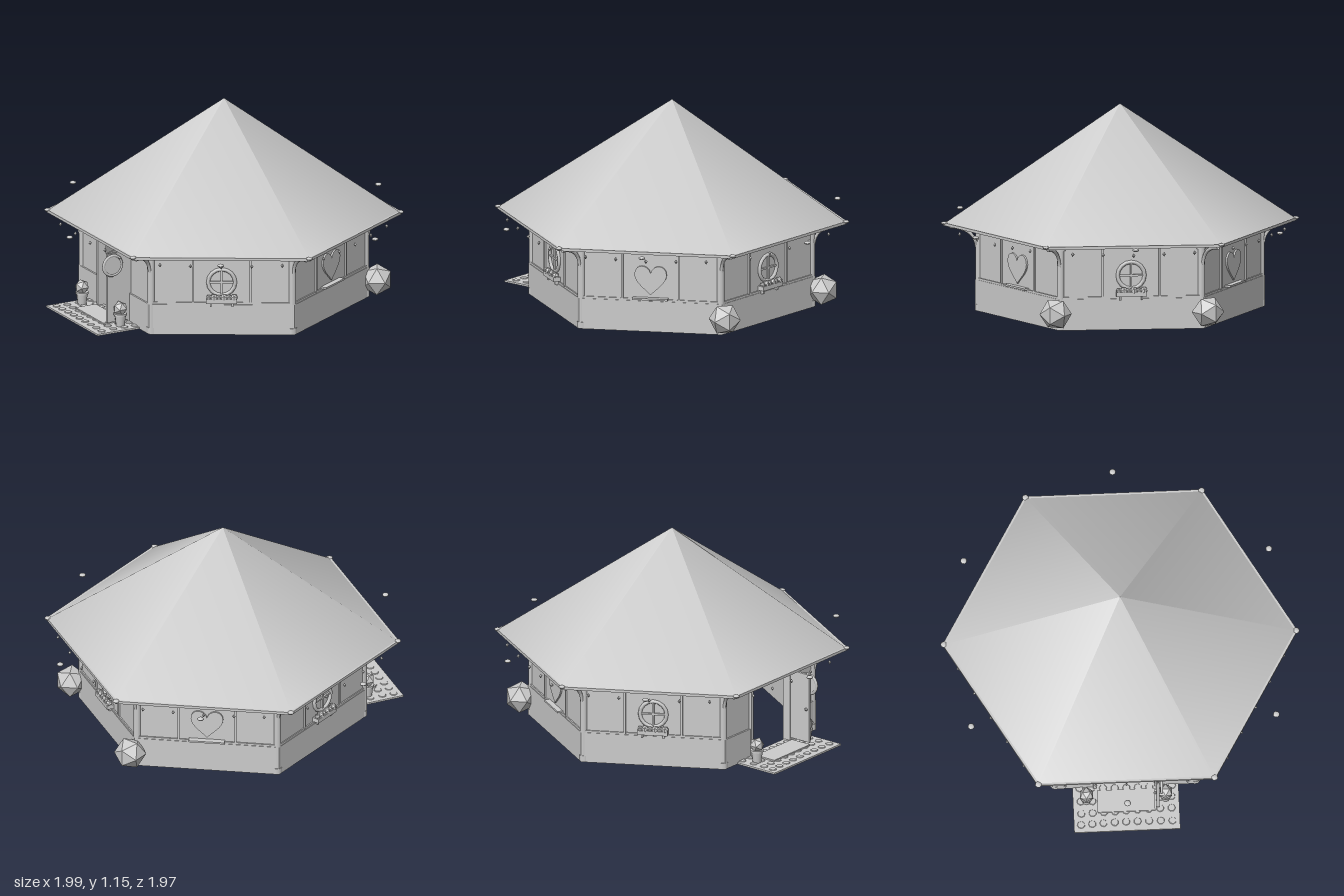
import * as THREE from 'three';

const rad = THREE.MathUtils.degToRad;
const paint = new THREE.MeshStandardMaterial({ color: 0xcccccc, side: THREE.DoubleSide });
paint.name = 'pale grey';

const BASE = 0.7, WALL = 0.69, EAVE = 0.49, ROOF_R = 0.985, CORNER_R = 0.8;

function add(parent, name, geometry, x = 0, y = 0, z = 0) {
  const mesh = new THREE.Mesh(geometry, paint);
  mesh.name = name;
  mesh.position.set(x, y, z);
  parent.add(mesh);
  return mesh;
}

const box = (parent, name, w, h, d, x, y, z) =>
  add(parent, name, new THREE.BoxGeometry(w, h, d), x, y, z);

// Group turned so that its +z points outwards at the given heading
function sector(parent, name, heading) {
  const g = new THREE.Group();
  g.name = name;
  g.rotation.y = rad(90 - heading);
  parent.add(g);
  return g;
}

// Faceted ball without smooth normals
const gem = r => new THREE.IcosahedronGeometry(r, 0);

function hexShape(r) {
  const s = new THREE.Shape();
  for (let i = 0; i < 6; i++) {
    const a = rad(-20 + 60 * i);
    s[i ? 'lineTo' : 'moveTo'](r * Math.cos(a), r * Math.sin(a));
  }
  s.closePath();
  return s;
}

function heartShape(s) {
  const h = new THREE.Shape();
  h.moveTo(0, -s);
  h.bezierCurveTo(-0.35 * s, -0.6 * s, -1.08 * s, -0.15 * s, -1.08 * s, 0.4 * s);
  h.bezierCurveTo(-1.08 * s, 1.15 * s, -0.15 * s, 1.15 * s, 0, 0.5 * s);
  h.bezierCurveTo(0.15 * s, 1.15 * s, 1.08 * s, 1.15 * s, 1.08 * s, 0.4 * s);
  h.bezierCurveTo(1.08 * s, -0.15 * s, 0.35 * s, -0.6 * s, 0, -s);
  return h;
}

function solidWall(face) {
  box(face, 'wallBase', BASE * 1.155, 0.175, 0.035, 0, 0.0875, BASE - 0.0175);
  box(face, 'wallPanel', WALL * 1.155, 0.41, 0.02, 0, 0.375, WALL - 0.01);
  box(face, 'baseRail', WALL * 1.155, 0.012, 0.014, 0, 0.181, WALL);
  for (const x of [-0.16, 0.16]) box(face, 'batten', 0.012, 0.31, 0.012, x, 0.335, WALL + 0.003);
}

function roundWindow(face) {
  add(face, 'windowFrame', new THREE.TorusGeometry(0.075, 0.011, 6, 16), 0, 0.305, WALL + 0.005);
  add(face, 'innerWindowFrame', new THREE.TorusGeometry(0.075, 0.007, 6, 20), 0, 0.305, WALL - 0.021);
  box(face, 'mullion', 0.01, 0.14, 0.012, 0, 0.305, WALL + 0.004);
  box(face, 'transom', 0.14, 0.01, 0.012, 0, 0.305, WALL + 0.004);
  box(face, 'flowerBox', 0.17, 0.025, 0.04, 0, 0.203, WALL + 0.022);
  for (let i = 0; i < 6; i++) {
    add(face, 'flower', gem(0.017 + 0.005 * (i % 2)), -0.07 + i * 0.028, 0.222, WALL + 0.025);
  }
  for (const x of [-0.06, 0.06]) box(face, 'boxBracket', 0.01, 0.025, 0.02, x, 0.18, WALL + 0.015);
}

function heartWindow(face) {
  const g = new THREE.ExtrudeGeometry(heartShape(0.084), { depth: 0.012, bevelEnabled: false, curveSegments: 8 });
  add(face, 'heartPlate', g, 0, 0.293, WALL - 0.002);
  box(face, 'heartSill', 0.2, 0.01, 0.035, 0, 0.19, WALL + 0.015);
}

function entrance(face) {
  for (const s of [-1, 1]) {
    box(face, 'wallBase', 0.234, 0.175, 0.035, s * 0.287, 0.0875, BASE - 0.0175);
    box(face, 'wallPanel', 0.228, 0.41, 0.02, s * 0.284, 0.375, WALL - 0.01);
    box(face, 'doorJamb', 0.018, 0.44, 0.05, s * 0.17, 0.22, WALL - 0.005);
    // Potted bushes beside the doorway
    add(face, 'pot', new THREE.CylinderGeometry(0.033, 0.024, 0.07, 10), s * 0.22, 0.045, 0.78);
    add(face, 'potRim', new THREE.CylinderGeometry(0.037, 0.037, 0.012, 10), s * 0.22, 0.078, 0.78);
    add(face, 'bush', gem(0.042), s * 0.22, 0.112, 0.78);
  }
  box(face, 'lintel', 0.36, 0.15, 0.03, 0, 0.505, WALL - 0.01);

  // Open door leaf with a round wreath
  box(face, 'door', 0.015, 0.4, 0.14, 0.175, 0.225, 0.77);
  add(face, 'wreath', new THREE.TorusGeometry(0.057, 0.009, 6, 20), 0.195, 0.36, 0.815).rotation.y = Math.PI / 2;
  add(face, 'wreathDisc', new THREE.CylinderGeometry(0.054, 0.054, 0.01, 20), 0.195, 0.36, 0.815).rotation.z = Math.PI / 2;
  add(face, 'doorHandle', gem(0.01), 0.16, 0.22, 0.825);

  // Cobbled path and mat
  box(face, 'path', 0.59, 0.01, 0.295, 0, 0.005, 0.818);
  box(face, 'doorMat', 0.32, 0.008, 0.13, 0, 0.016, 0.79);
  for (let i = 0; i < 9; i++) {
    for (let j = 0; j < 4; j++) {
      const wobble = Math.sin(i * 12.9 + j * 7.3);
      const stone = add(face, 'cobble', new THREE.CylinderGeometry(0.02, 0.027, 0.012, 7),
        -0.256 + i * 0.064 + wobble * 0.005, 0.008, 0.705 + j * 0.072 + wobble * 0.008);
      stone.rotation.y = wobble * 3;
    }
  }
}

// Small lights hung in a sagging row below one eave
function eaveLights(face) {
  for (let i = -2; i <= 2; i++) {
    const bead = add(face, 'eaveLight', new THREE.OctahedronGeometry(0.01), i * 0.17, 0.442 + 0.006 * Math.abs(i), 0.85);
    bead.scale.y = 1.3;
  }
  box(face, 'eaveTrim', ROOF_R, 0.016, 0.014, 0, EAVE, ROOF_R * 0.866 - 0.005);
}

function cornerPost(corner) {
  add(corner, 'cornerPost', new THREE.CylinderGeometry(0.022, 0.022, 0.48, 8), 0, 0.245, CORNER_R - 0.015);
  for (const y of [0.02, 0.465]) {
    add(corner, 'postCollar', new THREE.CylinderGeometry(0.029, 0.029, 0.035, 8), 0, y, CORNER_R - 0.02);
  }
  // Curved brace carrying the eave
  const curve = new THREE.QuadraticBezierCurve3(
    new THREE.Vector3(0, 0.36, CORNER_R), new THREE.Vector3(0, 0.465, CORNER_R + 0.01), new THREE.Vector3(0, 0.475, 0.95));
  add(corner, 'eaveBrace', new THREE.TubeGeometry(curve, 10, 0.01, 6));
}

function roof(parent) {
  const cone = add(parent, 'roof', new THREE.ConeGeometry(ROOF_R, 1.155 - EAVE, 6, 1, true), 0, (1.155 + EAVE) / 2, 0);
  cone.rotation.y = rad(110);
  // Flat soffit between wall and eave
  const ring = hexShape(ROOF_R - 0.005);
  ring.holes.push(hexShape(0.785));
  add(parent, 'soffit', new THREE.ShapeGeometry(ring), 0, EAVE, 0).rotation.x = Math.PI / 2;
}

export function createModel() {
  const hut = new THREE.Group();
  hut.name = 'hexagonalHut';
  roof(hut);

  // Six wall faces
  for (let i = 0; i < 6; i++) {
    const face = sector(hut, 'wallFace', 10 + 60 * i);
    if (i === 3) entrance(face);
    else {
      solidWall(face);
      if (i === 1 || i === 5) heartWindow(face);
      else roundWindow(face);
    }
    eaveLights(face);
  }

  // Six corners
  for (let i = 0; i < 6; i++) {
    const corner = sector(hut, 'corner', -20 + 60 * i);
    cornerPost(corner);
    if (i < 2) add(corner, 'shrub', gem(0.09), 0, 0.1, 0.85);
  }

  // Ring of lanterns level with the eave
  for (let i = 0; i < 12; i++) {
    const spot = sector(hut, 'lanternSpot', 10 + 30 * i);
    add(spot, 'lantern', new THREE.SphereGeometry(0.019, 8, 6), 0, 0.495, 0.98).scale.y = 0.5;
  }
  return hut;
}
